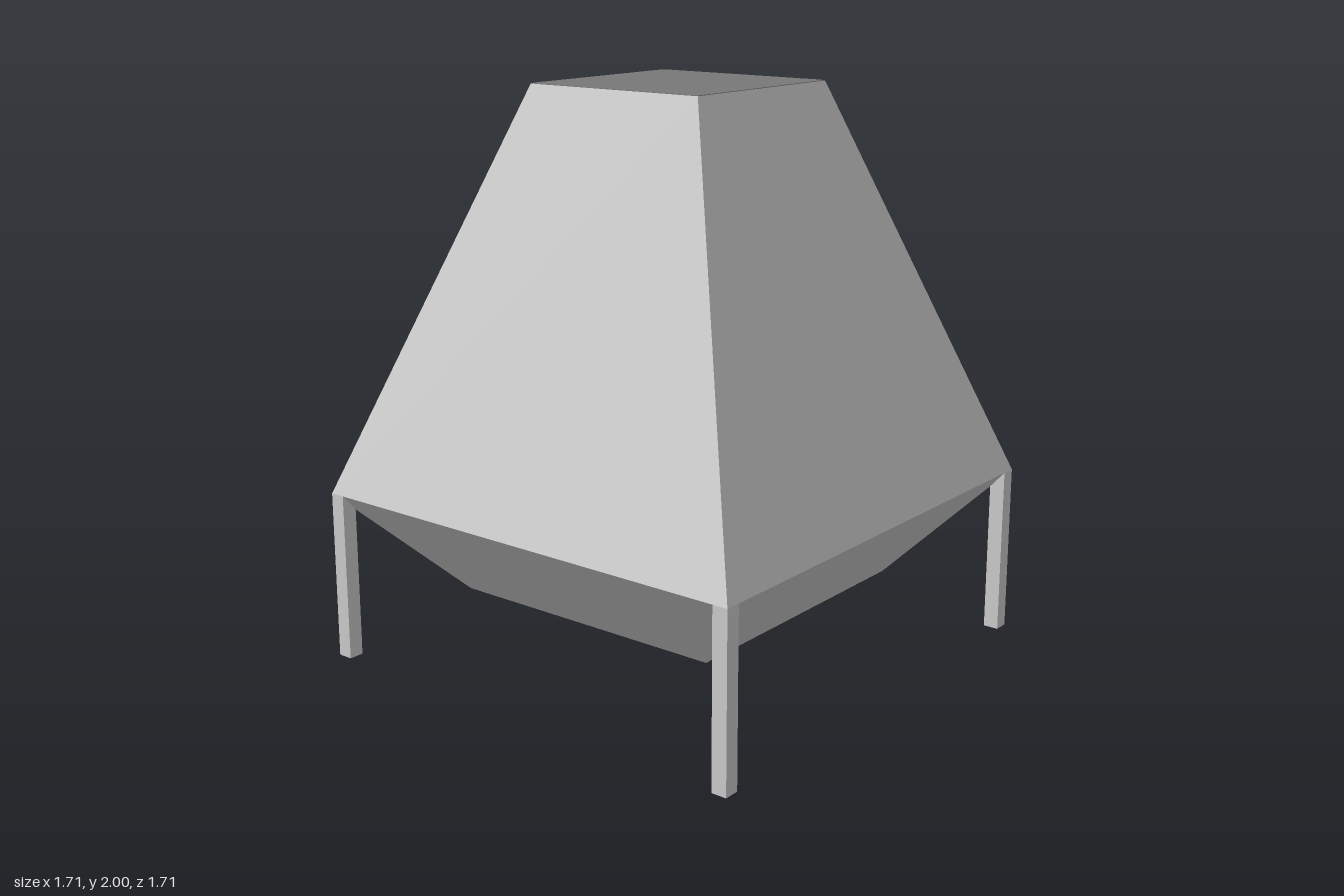
import * as THREE from 'three';

const BASE = 0.855, RIM_Y = 0.6, TOP = 0.35;

const paint = (name, color, side = THREE.FrontSide) => {
  const m = new THREE.MeshStandardMaterial({ color, side });
  m.name = name;
  return m;
};

// Square frustum between two heights, with flat faces
function frustum(topHalf, bottomHalf, y0, y1, open = false) {
  const geo = new THREE.CylinderGeometry(topHalf * Math.SQRT2, bottomHalf * Math.SQRT2, y1 - y0, 4, 1, open)
    .rotateY(Math.PI / 4)
    .translate(0, (y0 + y1) / 2, 0)
    .toNonIndexed();
  geo.computeVertexNormals();
  return geo;
}

// Horizontal plate from [x, z] corners, rising from y
function plate(corners, y, thickness) {
  const shape = new THREE.Shape(corners.map(([x, z]) => new THREE.Vector2(x, -z)));
  return new THREE.ExtrudeGeometry(shape, { depth: thickness, bevelEnabled: false })
    .rotateX(-Math.PI / 2)
    .translate(0, y, 0);
}

export function createModel() {
  const group = new THREE.Group();
  group.name = 'taperedHood';
  const light = paint('light grey', 0xcbcbcb, THREE.DoubleSide);
  const dark = paint('dark grey', 0x787878);

  const add = (name, geo, mat) => {
    const mesh = new THREE.Mesh(geo, mat);
    mesh.name = name;
    group.add(mesh);
    return mesh;
  };

  // Tall tapering hood and the shallow hopper beneath it
  add('hood', frustum(TOP, BASE, RIM_Y, 1.998), light);
  add('hopper', frustum(BASE, 0.525, 0.23, RIM_Y), light);

  // Thin dark lid with clipped corners
  const a = TOP, b = TOP - 0.015;
  add('lid', plate([[-b, a], [b, a], [a, b], [a, -b], [b, -a], [-b, -a], [-a, -b], [-a, b]], 1.997, 0.003), dark);

  // Triangular shelf on the back: light below, dark on top
  const fin = [[-0.25, -0.43], [0.14, -0.43], [-0.24, -0.72]];
  add('backFin', plate(fin, 1.764, 0.014), light);
  add('backFinTop', plate(fin, 1.778, 0.001), dark);

  // Hollow square corner legs, open at the foot
  const h = 0.0275, legGeo = frustum(h, h, 0, RIM_Y, true);
  for (const sx of [-1, 1]) {
    for (const sz of [-1, 1]) {
      const leg = add((sz > 0 ? 'front' : 'back') + (sx > 0 ? 'Left' : 'Right') + 'Leg', legGeo, light);
      leg.position.set(sx * (BASE - h), 0, sz * (BASE - h));
    }
  }
  return group;
}
